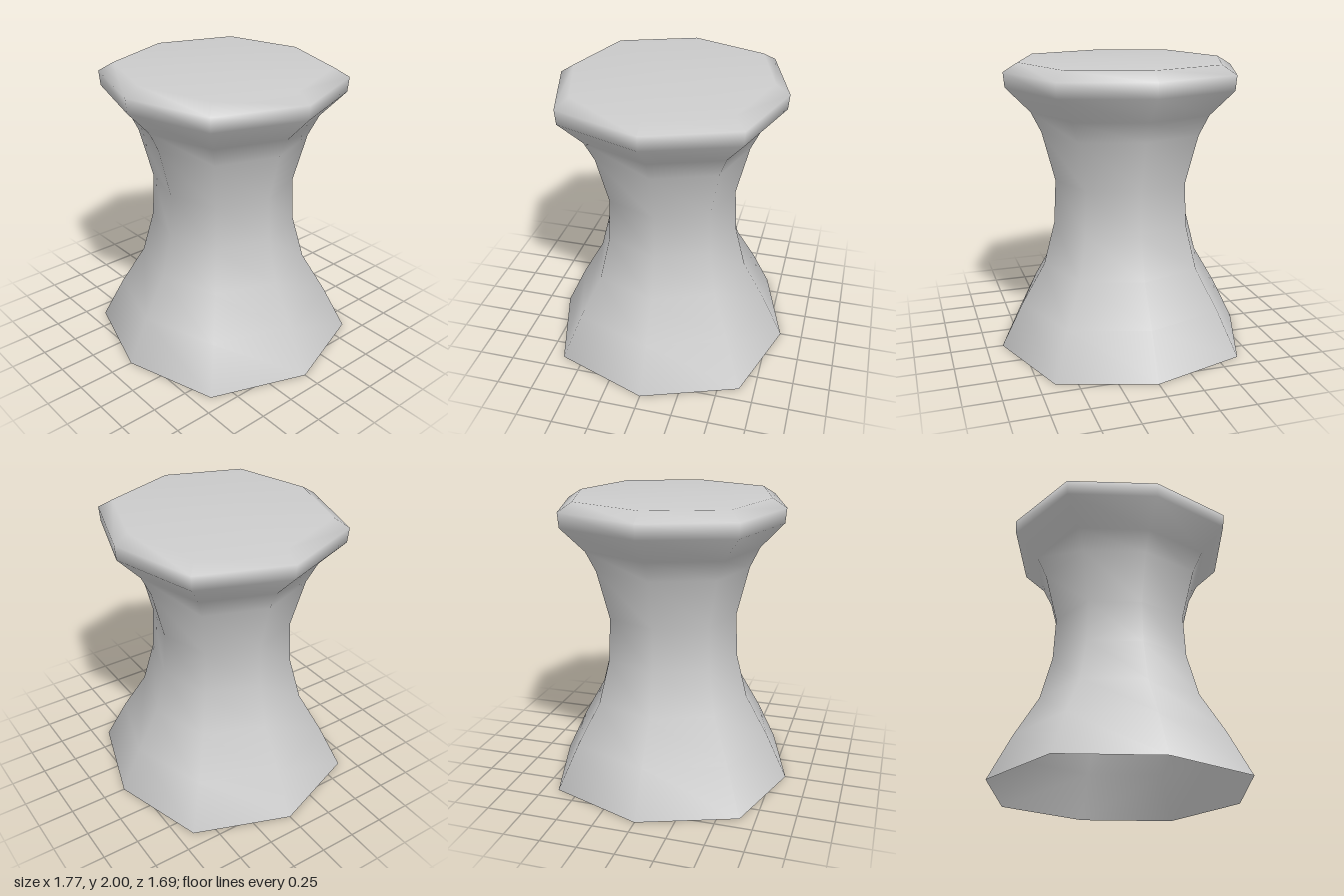
import * as THREE from 'three';
import { mergeVertices } from 'three/addons/utils/BufferGeometryUtils.js';

// Profile as [radius along x, height], from the open foot up to the seat centre
const PROFILE = [
  [0.885, 0], [0.73, 0.31], [0.566, 0.59], [0.487, 0.89], [0.472, 1.19],
  [0.56, 1.53], [0.63, 1.67], [0.795, 1.84], [0.804, 1.94], [0.704, 2], [0, 2],
];

export function createModel() {
  const group = new THREE.Group();
  group.name = 'stool';

  // Eight-sided hollow body with a closed seat on top
  let geometry = new THREE.LatheGeometry(PROFILE.map(([r, y]) => new THREE.Vector2(r, y)), 8);

  // Diagonal corners sit further out, and the depth is slightly less than the width
  const pos = geometry.attributes.position;
  for (let i = 0; i < pos.count; i++) {
    const x = pos.getX(i), z = pos.getZ(i);
    const diagonal = Math.abs(x) > 1e-4 && Math.abs(z) > 1e-4;
    pos.setX(i, x * (diagonal ? 1.031 : 1));
    pos.setZ(i, z * (diagonal ? 1.031 : 0.953));
  }

  // Weld the seam so the shading is smooth all the way round
  geometry.deleteAttribute('uv');
  geometry.deleteAttribute('normal');
  geometry = mergeVertices(geometry, 1e-4);
  geometry.computeVertexNormals();

  const body = new THREE.Mesh(
    geometry,
    new THREE.MeshStandardMaterial({ color: 0xcccccc, side: THREE.DoubleSide })
  );
  body.name = 'stoolBody';
  group.add(body);
  return group;
}
